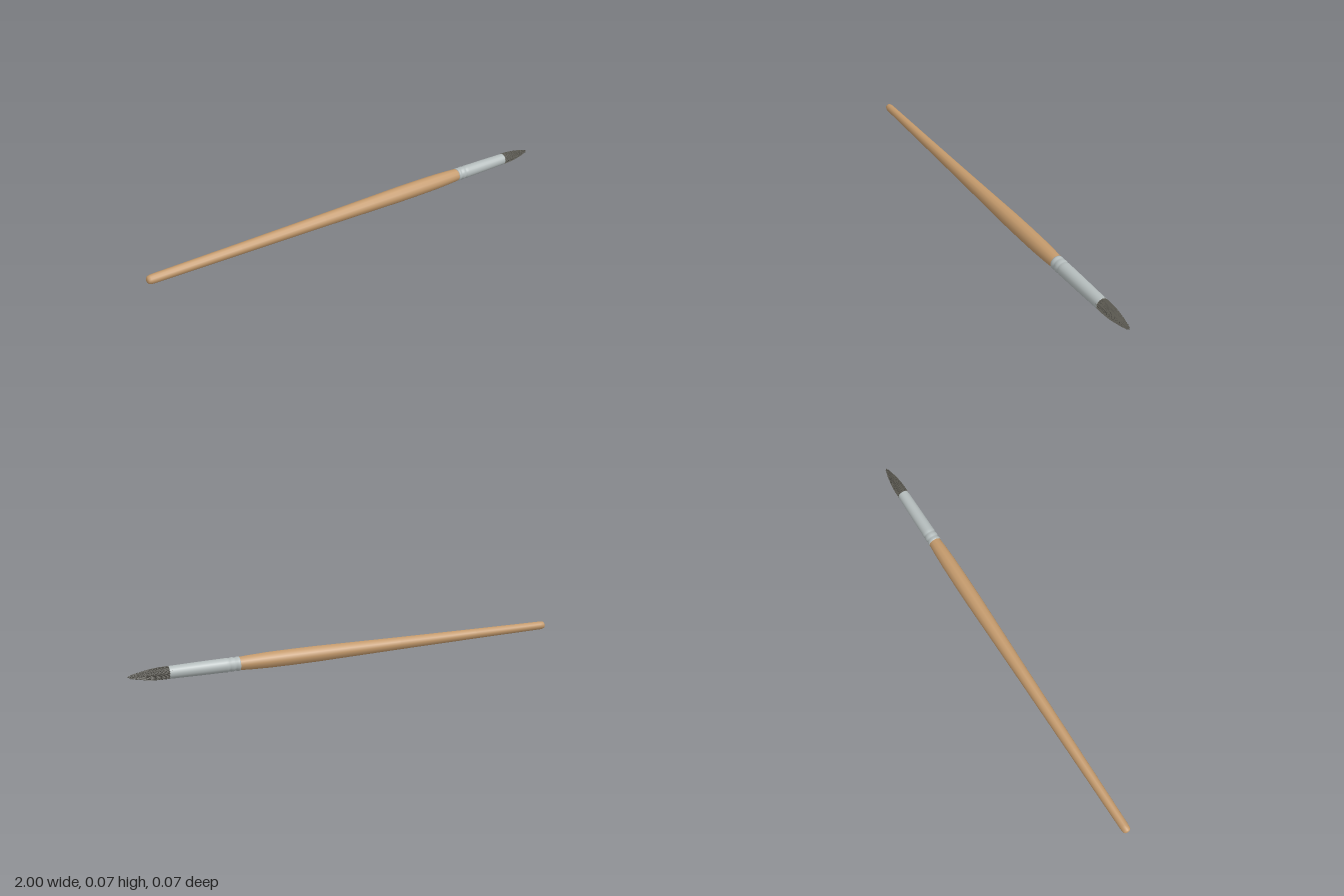
import * as THREE from 'three';
import { mergeGeometries } from 'three/addons/utils/BufferGeometryUtils.js';

const AXIS_Y = 0.036;

// Round part along x from [x, radius] pairs
function turned(name, profile, sides, color) {
  const geo = new THREE.LatheGeometry(profile.map(([x, r]) => new THREE.Vector2(r, x)), sides);
  geo.rotateZ(-Math.PI / 2);
  const mesh = new THREE.Mesh(geo, new THREE.MeshStandardMaterial({ color }));
  mesh.name = name;
  return mesh;
}

// Envelope radius of the bristle tuft, t from 0 (root) to 1 (tip)
const envelope = t => 0.0235 * Math.sqrt(1 - t * t) + 0.004 * Math.sin(Math.PI * Math.min(1, t * 1.3));

function seeded(seed) {
  return () => (seed = (seed * 16807) % 2147483647) / 2147483647;
}

// Fine tapered hairs spread evenly over the ferrule mouth, bending to the tip
function hairs(count, root, tip) {
  const random = seeded(77);
  const list = [];
  for (let i = 0; i < count; i++) {
    const f = Math.sqrt((i + 0.5) / count);
    const angle = i * 2.39996;
    const reach = 1 - 0.4 * f * f * random() - 0.03 * random();
    const stray = 0.94 + 0.12 * random();
    const hair = new THREE.CylinderGeometry(0.0003, 0.0012, 1, 3, 5, true);
    hair.translate(0, 0.5, 0).rotateZ(-Math.PI / 2);
    const p = hair.attributes.position;
    for (let k = 0; k < p.count; k++) {
      const t = THREE.MathUtils.clamp(p.getX(k), 0, 1) * reach;
      const r = f * envelope(t) * (1 + (stray - 1) * t);
      p.setXYZ(k, root + (tip - root) * t, p.getY(k) + r * Math.cos(angle), p.getZ(k) + r * Math.sin(angle));
    }
    hair.computeVertexNormals();
    list.push(hair);
  }
  const mesh = new THREE.Mesh(mergeGeometries(list),
    new THREE.MeshStandardMaterial({ color: 0x5c5a52, side: THREE.DoubleSide }));
  mesh.name = 'bristleHairs';
  return mesh;
}

export function createModel() {
  const brush = new THREE.Group();
  brush.name = 'paintbrush';

  // Wooden handle with a rounded end and a belly near the ferrule
  brush.add(turned('handle', [
    [-1, 0], [-0.999, 0.01], [-0.994, 0.016], [-0.985, 0.0185], [-0.97, 0.0195],
    [-0.6, 0.0235], [-0.2, 0.0285], [0.05, 0.0325], [0.2, 0.035], [0.32, 0.0352],
    [0.42, 0.0342], [0.5, 0.0312], [0.55, 0.028], [0.56, 0.026],
  ], 12, 0xc49a6c));

  // Metal ferrule with crimped rings and an open mouth
  const ferrule = [[0.543, 0.026], [0.543, 0.0295], [0.548, 0.0302]];
  for (const x of [0.562, 0.588]) {
    ferrule.push([x - 0.008, 0.0302], [x - 0.003, 0.0278], [x + 0.003, 0.0278], [x + 0.008, 0.0302]);
  }
  ferrule.push([0.605, 0.0295], [0.7, 0.0285], [0.834, 0.0262], [0.836, 0.0262], [0.836, 0.024], [0.8, 0.024]);
  brush.add(turned('ferrule', ferrule, 20, 0xb4bcbc));

  // Solid heart of the tuft, hidden by the hairs
  const core = [];
  for (let i = 0; i <= 10; i++) core.push([0.8 + 0.175 * i / 10, envelope(i / 10) * 0.86]);
  brush.add(turned('bristleCore', core, 14, 0x4a4842));
  brush.add(hairs(300, 0.8, 1));

  for (const part of brush.children) part.position.y = AXIS_Y;
  return brush;
}
